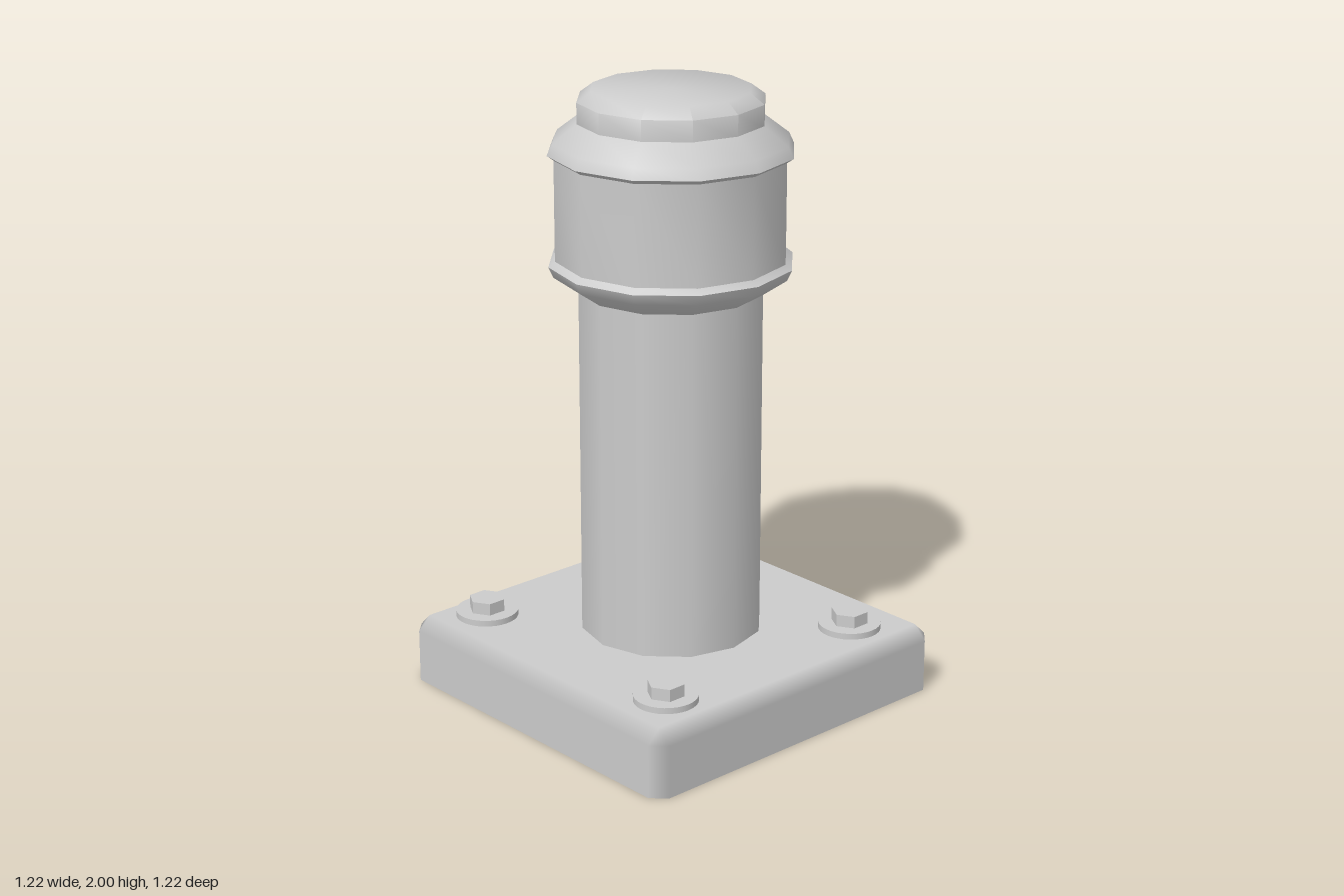
import * as THREE from 'three';
import { toCreasedNormals } from 'three/addons/utils/BufferGeometryUtils.js';

const grey = new THREE.MeshStandardMaterial({ color: 0xcccccc });
const greyDouble = new THREE.MeshStandardMaterial({ color: 0xcccccc, side: THREE.DoubleSide });

function part(name, geometry, material = grey) {
  const mesh = new THREE.Mesh(geometry, material);
  mesh.name = name;
  return mesh;
}

// twelve-sided turned shape, smooth around and sharp at steep bends
function turned(profile) {
  const points = profile.map(([r, y]) => new THREE.Vector2(r, y));
  return toCreasedNormals(new THREE.LatheGeometry(points, 12), 0.95);
}

// square plate, hollow underneath, with chamfers that shade softly into the flats
function plateGeometry(half, chamfer, height) {
  const positions = [], normals = [], index = [];
  const inner = half - chamfer;
  const rings = [[0, half, false], [height - chamfer, half, false], [height, inner, true]];
  for (const [y, out, up] of rings) {
    for (let side = 0; side < 4; side++) {
      const c = Math.round(Math.cos(side * Math.PI / 2));
      const s = Math.round(Math.sin(side * Math.PI / 2));
      for (const t of [-inner, inner]) {
        positions.push(c * out - s * t, y, s * out + c * t);
        normals.push(...(up ? [0, 1, 0] : [c, 0, s]));
      }
    }
  }
  positions.push(0, height, 0);
  normals.push(0, 1, 0);
  for (let j = 0; j < 8; j++) {
    const k = (j + 1) % 8;
    for (const a of [0, 8]) {
      index.push(a + j, a + 8 + j, a + k, a + k, a + 8 + j, a + 8 + k);
    }
    index.push(24, 16 + k, 16 + j);
  }
  const geometry = new THREE.BufferGeometry();
  geometry.setAttribute('position', new THREE.Float32BufferAttribute(positions, 3));
  geometry.setAttribute('normal', new THREE.Float32BufferAttribute(normals, 3));
  geometry.setIndex(index);
  return geometry;
}

// washer with a hexagonal head
function createBolt() {
  const bolt = new THREE.Group();
  bolt.name = 'bolt';
  const washer = part('washer', new THREE.CylinderGeometry(0.102, 0.102, 0.03, 32));
  washer.position.y = 0.225;
  const hex = new THREE.CylinderGeometry(0.06, 0.06, 0.045, 6).rotateY(Math.PI / 6);
  const head = part('boltHead', toCreasedNormals(hex, 0.5));
  head.position.y = 0.2575;
  bolt.add(washer, head);
  return bolt;
}

export function createModel() {
  const model = new THREE.Group();
  model.name = 'bollard';

  model.add(part('basePlate', plateGeometry(0.608, 0.045, 0.22), greyDouble));

  // the post pokes a little through the plate and is open below
  model.add(part('post', new THREE.CylinderGeometry(0.297, 0.297, 1.23, 12, 1, true)
    .translate(0, 0.765, 0), greyDouble));

  // thick collar with a lip at each end
  model.add(part('lowerLip', turned([
    [0.295, 1.36], [0.375, 1.415], [0.391, 1.45], [0.37, 1.467],
  ]), greyDouble));
  model.add(part('collar', turned([[0.37, 1.465], [0.37, 1.795]]), greyDouble));
  model.add(part('upperLip', turned([
    [0.37, 1.79], [0.391, 1.805], [0.375, 1.84], [0.295, 1.902],
  ]), greyDouble));

  // chamfered top
  model.add(part('cap', turned([[0.297, 1.895], [0.297, 1.967], [0.253, 2], [0, 2]]), greyDouble));

  for (const x of [-0.417, 0.39]) {
    for (const z of [-0.442, 0.432]) {
      const bolt = createBolt();
      bolt.position.set(x, 0, z);
      model.add(bolt);
    }
  }
  return model;
}
